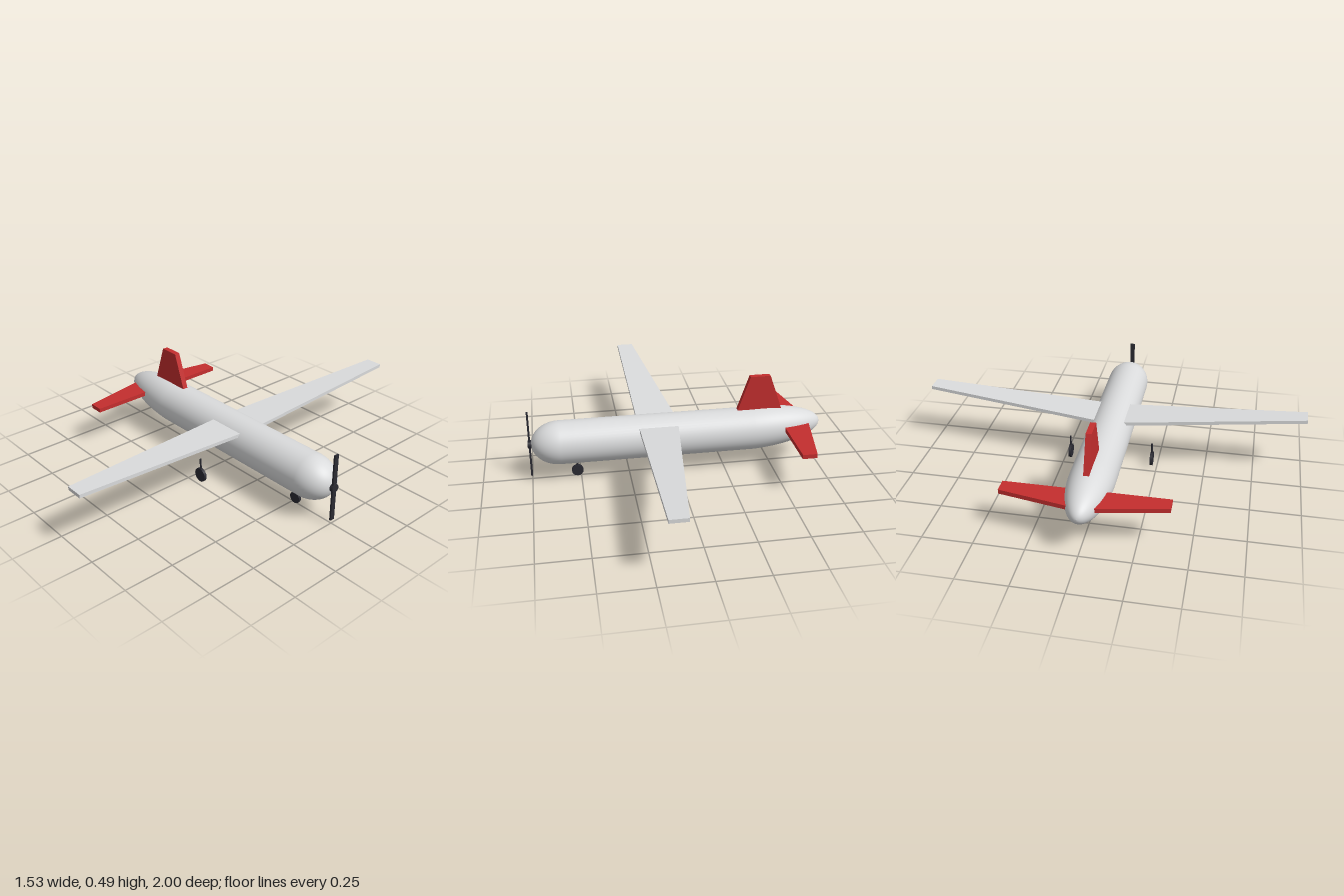
import * as THREE from 'three';

const mat = (name, color) => {
  const m = new THREE.MeshStandardMaterial({ color });
  m.name = name;
  return m;
};

export function createModel() {
  const plane = new THREE.Group();
  plane.name = 'airplane';
  const silver = mat('light grey', 0xdadbdc);
  const red = mat('red', 0xc42e2e);
  const dark = mat('charcoal', 0x2a2a32);

  const add = (name, geometry, material, x = 0, y = 0, z = 0) => {
    const mesh = new THREE.Mesh(geometry, material);
    mesh.name = name;
    mesh.position.set(x, y, z);
    plane.add(mesh);
    return mesh;
  };
  const plate = (points, depth) => new THREE.ExtrudeGeometry(
    new THREE.Shape(points.map(([a, b]) => new THREE.Vector2(a, b))),
    { depth, bevelEnabled: false });

  // Horizontal plate: planform in x and z, top at y = 0, raised outwards by slope
  const airfoil = (points, side, thickness, slope) => {
    const g = plate(points.map(([x, z]) => [x, z * side]), thickness).rotateX(Math.PI / 2);
    const p = g.attributes.position;
    for (let i = 0; i < p.count; i++) p.setY(i, p.getY(i) + slope * Math.abs(p.getZ(i)));
    g.computeVertexNormals();
    return g;
  };

  // Fuselage: long elliptical tail, straight middle, short round nose
  const R = 0.112, tailX = -0.4, tailLen = 0.365, noseX = 0.6, noseLen = 0.145;
  const profile = [];
  for (let i = 0; i <= 20; i++) {
    const a = (i / 20) * Math.PI / 2;
    profile.push(new THREE.Vector2(R * Math.sin(a), tailX - tailLen * Math.cos(a)));
  }
  for (let i = 0; i <= 16; i++) {
    const a = (i / 16) * Math.PI / 2;
    profile.push(new THREE.Vector2(R * Math.cos(a), noseX + noseLen * Math.sin(a)));
  }
  const hull = new THREE.LatheGeometry(profile, 48).rotateZ(-Math.PI / 2);
  const hp = hull.attributes.position;
  for (let i = 0; i < hp.count; i++) { // tail sweeps slightly upwards
    const t = Math.max(0, (tailX - hp.getX(i)) / tailLen);
    hp.setY(i, hp.getY(i) + 0.018 * t);
  }
  add('fuselage', hull, silver, 0, 0.198, 0);

  // Wings, tailplanes and main landing gear, mirrored
  for (const side of [1, -1]) {
    const label = side > 0 ? 'left' : 'right';
    add(label + 'Wing', airfoil([[0, 0.07], [0.2, 0.07], [0.2, 1], [0.112, 1]], side, 0.018, 0.053),
      silver, 0, 0.274, 0);
    add(label + 'Tailplane',
      airfoil([[-0.703, 0], [-0.555, 0], [-0.555, 0.4], [-0.628, 0.4]], side, 0.022, 0),
      red, 0, 0.232, 0);
  }

  // Tail fin
  add('tailFin', plate([[-0.572, 0.25], [-0.299, 0.25], [-0.383, 0.492], [-0.487, 0.492]], 0.028),
    red, 0, 0, -0.014);

  // Landing gear: wheel with a thin upright strut
  const gear = (name, x, z, r, top) => {
    add(name + 'Wheel', new THREE.CylinderGeometry(r, r, 0.014, 16).rotateX(Math.PI / 2),
      dark, x, r, z);
    add(name + 'Strut', new THREE.CylinderGeometry(0.005, 0.005, top - r, 8),
      dark, x, (top + r) / 2, z);
  };
  gear('leftMain', 0.065, 0.22, 0.037, 0.128);
  gear('rightMain', 0.065, -0.22, 0.037, 0.128);
  gear('nose', 0.518, 0, 0.03, 0.11);

  // Propeller
  add('propellerHub', new THREE.CylinderGeometry(0.021, 0.021, 0.022, 16).rotateZ(Math.PI / 2),
    dark, 0.75, 0.198, 0);
  add('propellerBlades', new THREE.BoxGeometry(0.009, 0.351, 0.024), dark, 0.752, 0.198, 0);

  return plane;
}
